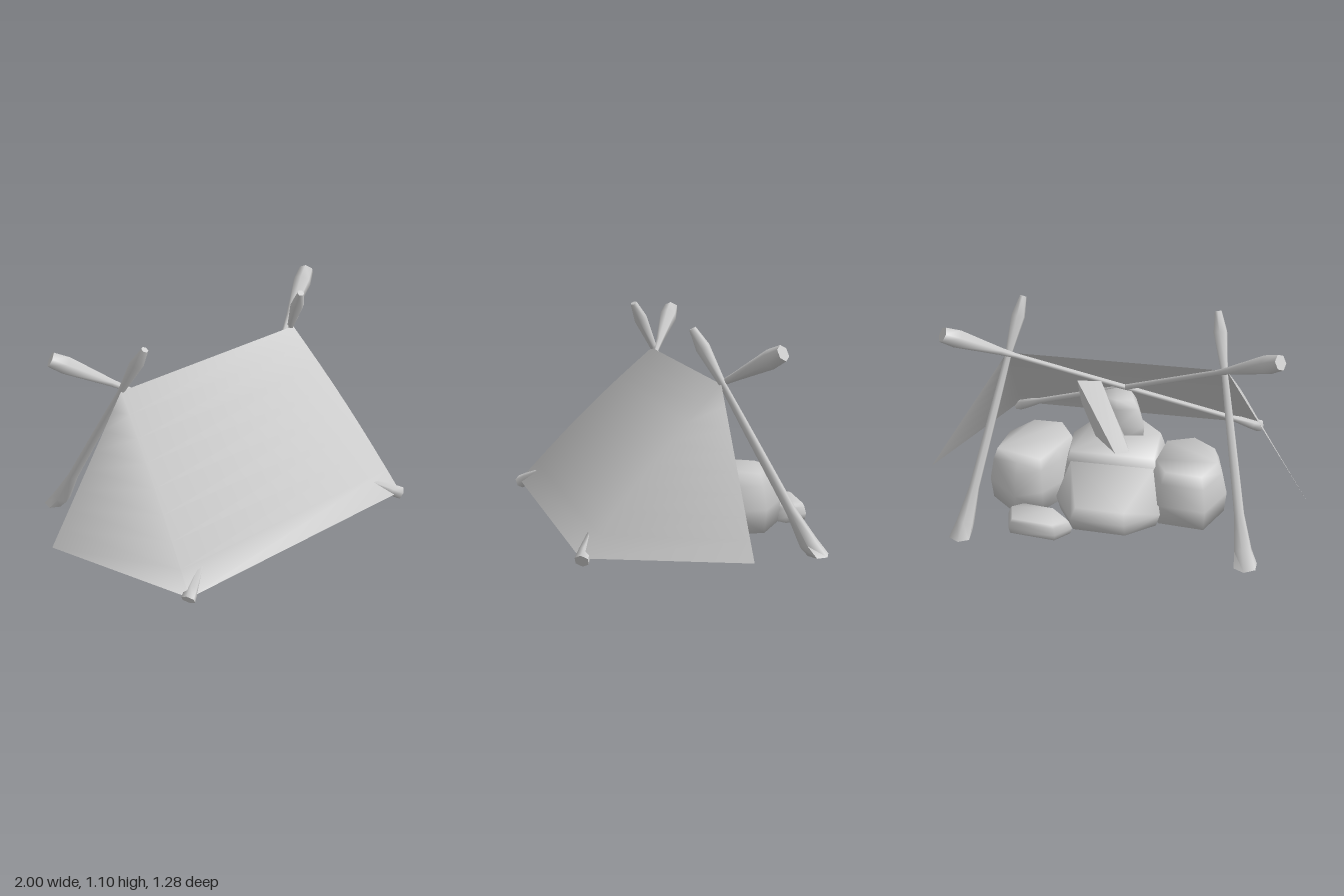
import * as THREE from 'three';
import { toCreasedNormals } from 'three/addons/utils/BufferGeometryUtils.js';
import { ConvexGeometry } from 'three/addons/geometries/ConvexGeometry.js';

const grey = new THREE.MeshStandardMaterial({ color: 0xcccccc });
grey.name = 'plain grey';
grey.side = THREE.DoubleSide;

function addMesh(parent, name, geometry) {
  const mesh = new THREE.Mesh(geometry, grey);
  mesh.name = name;
  parent.add(mesh);
}

// Pole turned from [fraction of length, radius] pairs, laid from a to b, cut flat at the ground
function poleGeometry(a, b, profile) {
  const from = new THREE.Vector3(...a);
  const axis = new THREE.Vector3(...b).sub(from);
  const length = axis.length();
  const points = [[0, 0], ...profile, [1, 0]].map(([t, r]) => new THREE.Vector2(r, t * length));
  const g = new THREE.LatheGeometry(points, 6);
  const turn = new THREE.Quaternion().setFromUnitVectors(new THREE.Vector3(0, 1, 0), axis.normalize());
  g.applyQuaternion(turn).translate(from.x, from.y, from.z);
  const p = g.attributes.position;
  for (let i = 0; i < p.count; i++) p.setY(i, Math.max(0, p.getY(i)));
  return toCreasedNormals(g, 1.1);
}

// Convex stone through [x, y, z] points
function stoneGeometry(points, crease) {
  return toCreasedNormals(new ConvexGeometry(points.map((p) => new THREE.Vector3(...p))), crease);
}

// Smooth boulder from a ground outline of [x, z] pairs, with bulging sides and a smaller top
function rockGeometry(outline, base, top, inset) {
  const cx = outline.reduce((s, p) => s + p[0], 0) / outline.length;
  const cz = outline.reduce((s, p) => s + p[1], 0) / outline.length;
  const points = [];
  for (const [level, scale] of [[0, 0.95], [0.4, 1], [0.8, (1 + inset) / 2], [1, inset]]) {
    for (const [x, z] of outline) {
      points.push([cx + (x - cx) * scale, base + (top - base) * level, cz + (z - cz) * scale]);
    }
  }
  return stoneGeometry(points, 2);
}

// Sheet with a sloping front and two side wings, built row by row from ridge to hem
function tarpGeometry() {
  const rows = 8, positions = [], index = [];
  for (let i = 0; i <= rows; i++) {
    const t = i / rows;
    const y = 0.83 - 0.733 * t;
    const foldY = y + 0.025 * Math.sin(Math.PI * t);
    const foldX = 0.55 + 0.145 * t, foldZ = -0.122 + 0.727 * t;
    const wingX = 0.55 + 0.45 * t;
    positions.push(-wingX, y, -0.122, -foldX, foldY, foldZ, foldX, foldY, foldZ, wingX, y, -0.122);
  }
  for (let i = 0; i < rows; i++) {
    for (let j = 0; j < 3; j++) {
      const a = i * 4 + j, c = a + 4;
      index.push(c, c + 1, a + 1);
      if (i > 0 || j === 1) index.push(c, a + 1, a);
    }
  }
  const g = new THREE.BufferGeometry();
  g.setAttribute('position', new THREE.Float32BufferAttribute(positions, 3));
  g.setIndex(index);
  return toCreasedNormals(g, 1.4);
}

export function createModel() {
  const model = new THREE.Group();
  model.name = 'leanToShelter';

  addMesh(model, 'tarp', tarpGeometry());

  // Rear legs and long diagonal poles under the sheet, mirrored
  for (const [s, side] of [[1, 'left'], [-1, 'right']]) {
    addMesh(model, side + 'RearPole', poleGeometry([s * 0.72, -0.03, -0.565], [s * 0.485, 1.09, 0],
      [[0, 0.062], [0.08, 0.047], [0.22, 0.027], [0.6, 0.021], [0.76, 0.017], [0.92, 0.036], [1, 0.018]]));
    addMesh(model, side + 'DiagonalPole', poleGeometry([s * -0.7, 0.085, 0.6], [s * 0.81, 1.01, -0.32],
      [[0, 0.036], [0.03, 0.032], [0.1, 0.016], [0.8, 0.014], [0.84, 0.02], [0.96, 0.048], [1, 0.04]]));
  }

  // Pile of boulders under the open back
  const rocks = new THREE.Group();
  rocks.name = 'boulders';
  model.add(rocks);
  addMesh(rocks, 'leftBoulder', rockGeometry(
    [[0.19, -0.12], [0.24, -0.3], [0.32, -0.42], [0.45, -0.48], [0.61, -0.34], [0.58, -0.14], [0.46, 0.02], [0.28, 0.02]], 0.095, 0.385, 0.82));
  addMesh(rocks, 'rightBoulder', rockGeometry(
    [[-0.55, -0.08], [-0.59, -0.25], [-0.5, -0.44], [-0.26, -0.42], [-0.18, -0.28], [-0.22, -0.04], [-0.4, 0.03]], 0.087, 0.37, 0.75));
  addMesh(rocks, 'middleBoulder', rockGeometry(
    [[-0.26, -0.31], [0.24, -0.31], [0.26, -0.1], [0.15, 0.1], [-0.12, 0.12], [-0.26, -0.02]], 0.087, 0.38, 0.85));
  addMesh(rocks, 'lowSlab', rockGeometry(
    [[0.14, -0.57], [0.21, -0.645], [0.45, -0.62], [0.48, -0.5], [0.42, -0.46], [0.24, -0.48]], 0.09, 0.172, 0.85));
  addMesh(rocks, 'topBoulder', rockGeometry(
    [[-0.14, -0.07], [0.0, -0.1], [0.12, -0.06], [0.14, 0.05], [0.04, 0.11], [-0.1, 0.07]], 0.34, 0.57, 0.6));

  // Rear boulder sloping down from the middle of the pile
  addMesh(rocks, 'rearBoulder', stoneGeometry([
    [-0.26, 0.095, -0.44], [-0.12, 0.095, -0.55], [0.14, 0.095, -0.54], [0.24, 0.095, -0.38], [0.18, 0.095, -0.25], [-0.2, 0.095, -0.25],
    [-0.28, 0.17, -0.45], [-0.12, 0.17, -0.575], [0.15, 0.17, -0.565], [0.26, 0.17, -0.38],
    [-0.11, 0.22, -0.54], [0.13, 0.22, -0.53], [0.2, 0.33, -0.29], [-0.22, 0.33, -0.29]], 2));

  // Tilted slab leaning up from the top of the pile towards the sheet
  addMesh(rocks, 'leaningSlab', stoneGeometry([
    [-0.1, 0.37, -0.25], [-0.03, 0.37, -0.27], [0.1, 0.37, -0.12], [-0.04, 0.37, -0.08],
    [0.1, 0.63, 0.02], [0.22, 0.63, 0.0], [0.2, 0.5, 0.0], [0.08, 0.52, 0.04]], 0.5));

  return model;
}
